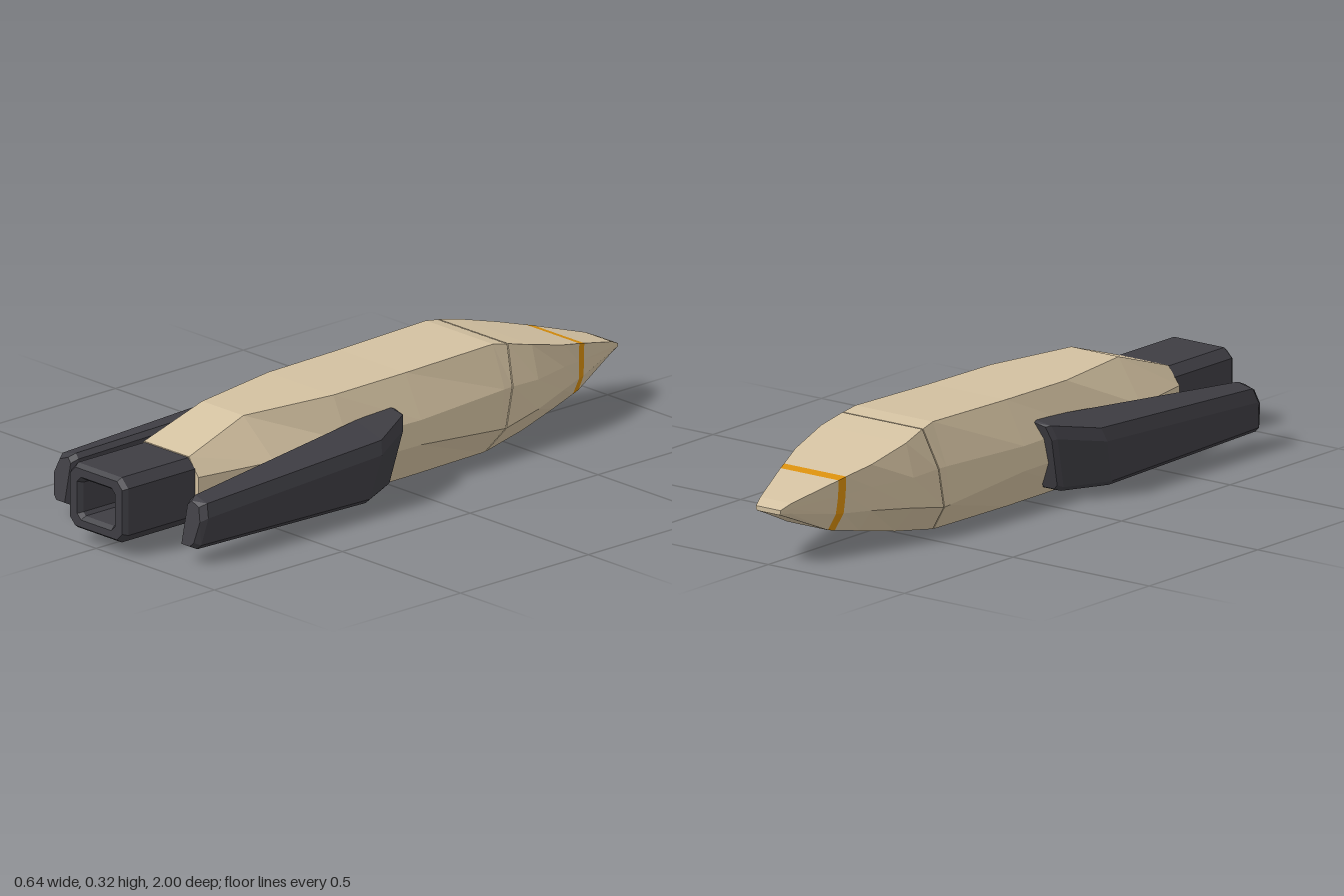
import * as THREE from 'three';

const flat = (name, color) => {
  const m = new THREE.MeshStandardMaterial({ color, flatShading: true });
  m.name = name;
  return m;
};

// Skin a list of convex rings, ordered from +z to -z, each counter-clockwise seen from +z
function loft(rings) {
  const pos = [];
  const tri = (a, b, c) => pos.push(...a, ...b, ...c);
  const n = rings[0].length;
  for (let r = 0; r < rings.length - 1; r++) {
    const a = rings[r], b = rings[r + 1];
    for (let i = 0; i < n; i++) {
      const j = (i + 1) % n;
      tri(a[i], b[i], a[j]);
      tri(a[j], b[i], b[j]);
    }
  }
  const first = rings[0], last = rings[rings.length - 1];
  for (let i = 1; i < n - 1; i++) {
    tri(first[0], first[i], first[i + 1]);
    tri(last[0], last[i + 1], last[i]);
  }
  const g = new THREE.BufferGeometry();
  g.setAttribute('position', new THREE.Float32BufferAttribute(pos, 3));
  g.computeVertexNormals();
  return g;
}

// Symmetric hull ring from its +x half: [x, y, z offset] listed bottom to top
function hullRing(z, half) {
  const right = half.map(([x, y, dz = 0]) => [x, y, z + dz]);
  const left = right.map(([x, y, zz]) => [-x, y, zz]).reverse();
  return [...right, ...left];
}

// Rectangle with cut corners
function cutRect(C, w, y0, y1, c) {
  const s = new C();
  s.moveTo(-w + c, y0);
  [[w - c, y0], [w, y0 + c], [w, y1 - c], [w - c, y1],
    [-w + c, y1], [-w, y1 - c], [-w, y0 + c]].forEach(([x, y]) => s.lineTo(x, y));
  s.closePath();
  return s;
}

// Fin ring: inner/outer x, top y inside/outside, bottom y; the ring leans back as it goes down
function finRing(z, xi, xo, yi, yo, yb, lean, side) {
  const c = 0.014;
  const pts = [
    [xi, yb], [xo - c - 0.012, yb], [xo - 0.012, yb + c],
    [xo, yo - 0.04], [xo - c, yo], [xi + c, yi], [xi, yi - c],
  ].map(([x, y]) => [x * side, y, z + lean * (0.243 - y) / 0.215]);
  return side > 0 ? pts : pts.reverse();
}

export function createModel() {
  const model = new THREE.Group();
  const tan = flat('tan hull', 0xd2c0a0);
  const dark = flat('dark grey', 0x3e3d43);
  const orange = flat('orange stripe', 0xd88e0c);
  const add = (name, geometry, material) => {
    const m = new THREE.Mesh(geometry, material);
    m.name = name;
    model.add(m);
    return m;
  };

  // Main hull, from the tail to the slanted nose seam
  const seam = [[0.13, 0, 0.07], [0.19, 0.08, 0.045], [0.19, 0.2, 0.02], [0.147, 0.315, 0]];
  add('hull', loft([
    hullRing(0.725, [[0.1, 0.04], [0.135, 0.11], [0.135, 0.185], [0.095, 0.238]]),
    hullRing(0.48, [[0.125, 0.003], [0.19, 0.115], [0.19, 0.19], [0.087, 0.31, 0.025]]),
    hullRing(0.2, [[0.142, 0.001], [0.198, 0.112], [0.198, 0.19], [0.138, 0.314]]),
    hullRing(-0.08, [[0.142, 0], [0.207, 0.115], [0.207, 0.19], [0.14, 0.317]]),
    hullRing(-0.42, [[0.132, 0, 0.03], [0.192, 0.082, 0.015], [0.192, 0.2], [0.142, 0.325]]),
    hullRing(-0.471, seam),
  ]), tan);

  // Nose in three flush pieces, the stripe between the other two
  const stripeBack = hullRing(-0.784, [[0.078, 0.07, -0.008], [0.108, 0.125, -0.004], [0.112, 0.18], [0.114, 0.235]]);
  const stripeFront = hullRing(-0.81, [[0.074, 0.076, -0.008], [0.1, 0.127, -0.004], [0.105, 0.178], [0.107, 0.228]]);
  add('noseBase', loft([
    hullRing(-0.475, seam),
    hullRing(-0.56, [[0.115, 0.024], [0.183, 0.105], [0.183, 0.195], [0.156, 0.294]]),
    hullRing(-0.7, [[0.095, 0.052], [0.14, 0.12], [0.142, 0.19], [0.14, 0.257]]),
    stripeBack,
  ]), tan);
  add('noseStripe', loft([stripeBack, stripeFront]), orange);
  add('noseTip', loft([
    stripeFront,
    hullRing(-0.965, [[0.045, 0.14], [0.054, 0.153], [0.056, 0.168], [0.057, 0.184]]),
    hullRing(-1, [[0.04, 0.154], [0.044, 0.158], [0.045, 0.163], [0.045, 0.168]]),
  ]), tan);

  // Hollow square tail nozzle
  const outline = cutRect(THREE.Shape, 0.11, 0.048, 0.225, 0.022);
  outline.holes.push(cutRect(THREE.Path, 0.08, 0.07, 0.2, 0.016));
  const nozzle = new THREE.ExtrudeGeometry(outline, {
    depth: 0.26, bevelEnabled: true, bevelThickness: 0.015, bevelSize: 0.01, bevelSegments: 1,
  });
  add('nozzle', nozzle.translate(0, 0, 0.725), dark);

  // Swept side fins
  for (const side of [1, -1]) {
    add(side > 0 ? 'leftFin' : 'rightFin', loft([
      finRing(0.855, 0.247, 0.308, 0.18, 0.168, 0.052, 0.045, side),
      finRing(0.835, 0.238, 0.32, 0.19, 0.178, 0.043, 0.045, side),
      finRing(0.15, 0.165, 0.312, 0.236, 0.208, 0.026, 0.06, side),
      finRing(0.012, 0.16, 0.245, 0.243, 0.234, 0.026, 0.06, side),
      finRing(0, 0.165, 0.232, 0.238, 0.23, 0.032, 0.06, side),
    ]), dark);
  }
  return model;
}
